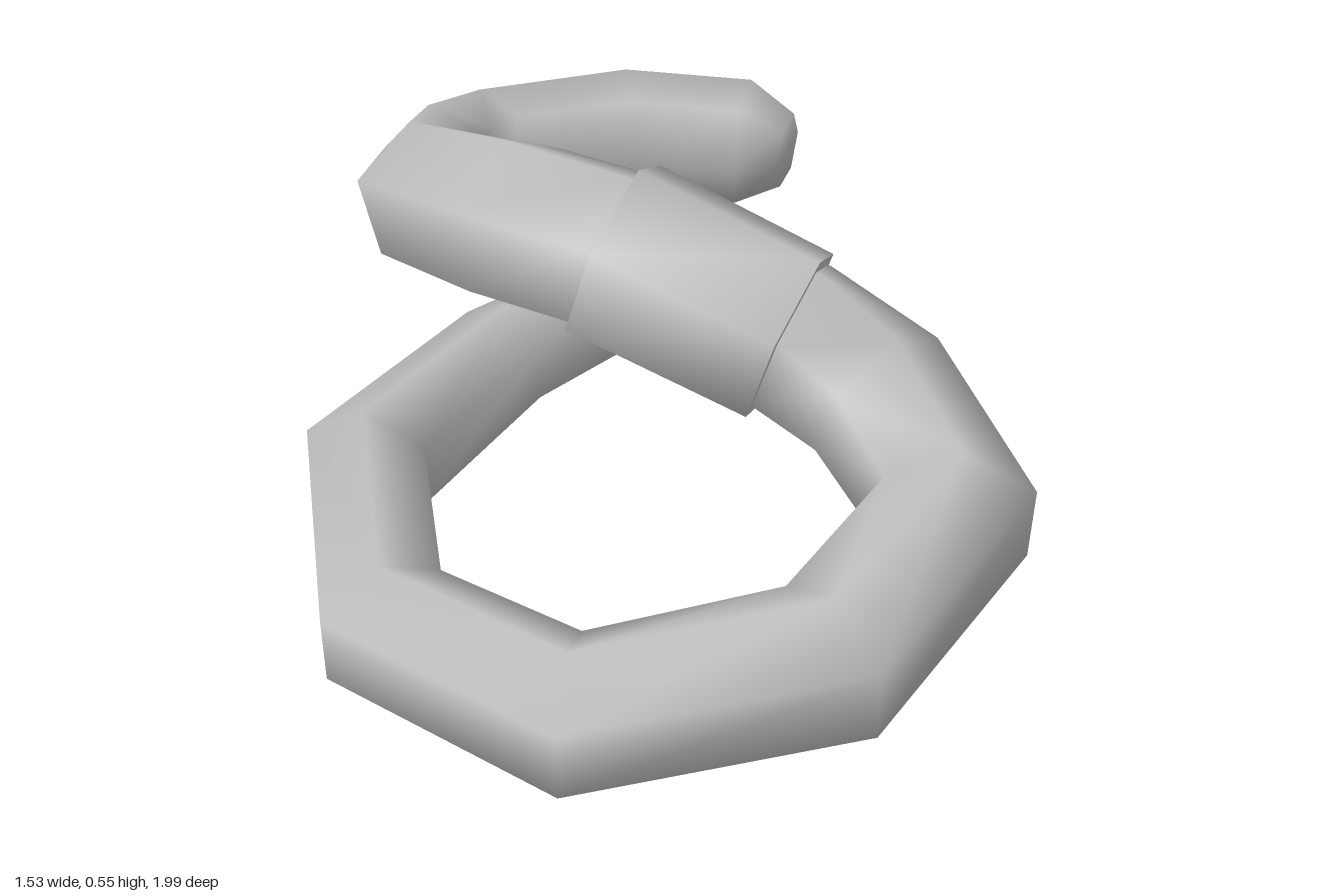
import * as THREE from 'three';

const SIDES = 6;

// Skins a hexagonal tube over rings [x, y, z, radius, roll in degrees]
function tube(rings, hardEnds = false) {
  const c = rings.map(([x, y, z]) => new THREE.Vector3(x, y, z));
  const last = rings.length - 1;
  const seg = (i) => c[i + 1].clone().sub(c[i]).normalize();
  const pos = [], index = [];
  rings.forEach(([, , , r, roll = 0], i) => {
    const t = new THREE.Vector3();
    if (i > 0) t.add(seg(i - 1));
    if (i < last) t.add(seg(i));
    t.normalize();
    const side = t.clone().cross(new THREE.Vector3(0, 1, 0)).normalize();
    const up = side.clone().cross(t);
    for (let j = 0; j < SIDES; j++) {
      const a = (j / SIDES) * Math.PI * 2 + THREE.MathUtils.degToRad(roll);
      const p = c[i].clone()
        .addScaledVector(up, r * Math.cos(a))
        .addScaledVector(side, r * Math.sin(a));
      pos.push(p.x, p.y, p.z);
    }
  });
  for (let i = 0; i < last; i++) {
    for (let j = 0; j < SIDES; j++) {
      const k = (j + 1) % SIDES;
      const a = i * SIDES + j, b = i * SIDES + k;
      index.push(a, b, a + SIDES, b, b + SIDES, a + SIDES);
    }
  }
  // End caps; hard ends get their own vertices for a sharp rim
  [0, last].forEach((i) => {
    let base = i * SIDES;
    if (hardEnds) {
      const copy = pos.slice(base * 3, (base + SIDES) * 3);
      base = pos.length / 3;
      pos.push(...copy);
    }
    const mid = pos.length / 3;
    pos.push(c[i].x, c[i].y, c[i].z);
    for (let j = 0; j < SIDES; j++) {
      const a = base + j, b = base + (j + 1) % SIDES;
      if (i === 0) index.push(b, a, mid);
      else index.push(a, b, mid);
    }
  });
  const g = new THREE.BufferGeometry();
  g.setAttribute('position', new THREE.Float32BufferAttribute(pos, 3));
  g.setIndex(index);
  g.computeVertexNormals();
  return g;
}

export function createModel() {
  const group = new THREE.Group();
  group.name = 'worm';
  const skin = new THREE.MeshStandardMaterial({ color: 0xc0c0c0 });
  skin.name = 'grey skin';

  // Body from tail tip, round the flat loop, over itself and down to the head
  const body = new THREE.Mesh(tube([
    [0.395, 0.115, -0.37, 0.066],
    [0.35, 0.115, -0.35, 0.1],
    [-0.17, 0.13, -0.18, 0.115],
    [-0.535, 0.14, 0.05, 0.132],
    [-0.645, 0.145, 0.465, 0.134],
    [-0.435, 0.15, 0.79, 0.14],
    [0.01, 0.157, 0.865, 0.147],
    [0.385, 0.166, 0.645, 0.157],
    [0.42, 0.18, 0.29, 0.162],
    [0.30, 0.265, 0.15, 0.165],
    [0.05, 0.365, -0.12, 0.175],
    [-0.085, 0.355, -0.31, 0.178],
    [-0.16, 0.26, -0.6, 0.167, -10],
    [-0.07, 0.19, -0.775, 0.155, -20],
    [0.075, 0.155, -0.86, 0.147, -30],
    [0.4, 0.138, -0.84, 0.147, -30],
    [0.635, 0.13, -0.71, 0.143, -30],
    [0.71, 0.13, -0.635, 0.085, -30],
  ]), skin);
  body.name = 'body';

  // Thicker saddle band where the body crosses over its tail
  const band = new THREE.Mesh(tube([
    [0.298, 0.268, 0.155, 0.19],
    [0.047, 0.37, -0.122, 0.198],
  ], true), skin);
  band.name = 'saddleBand';

  group.add(body, band);
  return group;
}
